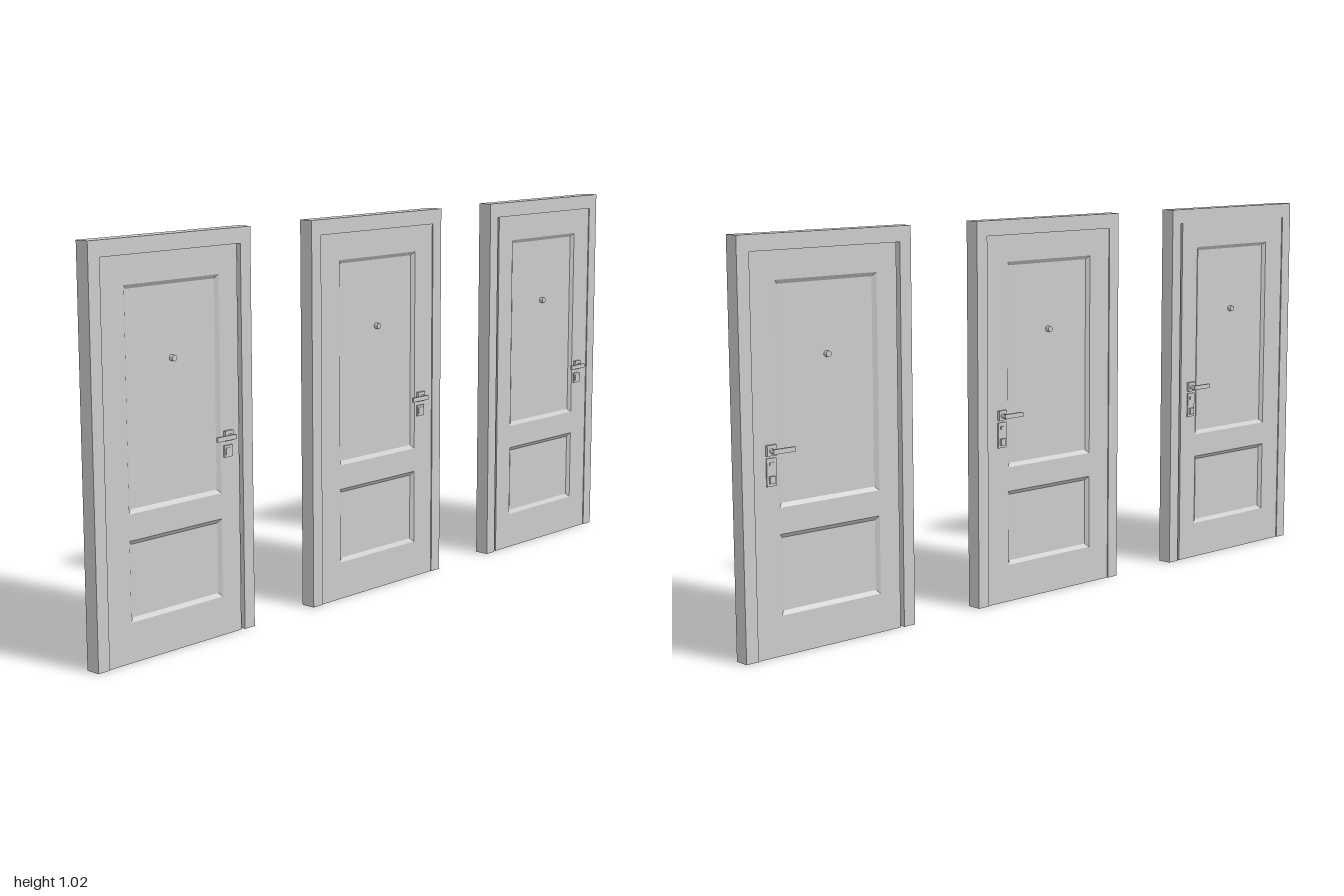
import * as THREE from 'three';

const grey = new THREE.MeshStandardMaterial({ color: 0xcccccc, flatShading: true });
const W = 0.26, H = 1.02, T = 0.02;      // half width, height, half thickness
const LEAF = 0.225, LEAF_TOP = 0.98;     // opening for the leaf
const FACE = 0.017, DEEP = 0.01;         // leaf face and sunken panel, from the middle
const PANELS = [[0.365, 0.91], [0.1, 0.3]];
const PANEL_HALF = 0.152, BEVEL = 0.01;

function add(parent, name, geometry, x = 0, y = 0, z = 0) {
  const mesh = new THREE.Mesh(geometry, grey);
  mesh.name = name;
  mesh.position.set(x, y, z);
  parent.add(mesh);
  return mesh;
}

const box = (w, h, d) => new THREE.BoxGeometry(w, h, d);

function rect(x0, y0, x1, y1, Type = THREE.Shape) {
  return new Type([[x0, y0], [x1, y0], [x1, y1], [x0, y1]].map(p => new THREE.Vector2(...p)));
}

function slab(shape, half) {
  return new THREE.ExtrudeGeometry(shape, { depth: half * 2, bevelEnabled: false }).translate(0, 0, -half);
}

// Sunken panel: four sloping sides down to a flat field
function sunkenPanel(y0, y1) {
  const loop = (inset, z) => {
    const x = PANEL_HALF - inset;
    return [[-x, y0 + inset, z], [x, y0 + inset, z], [x, y1 - inset, z], [-x, y1 - inset, z]];
  };
  const outer = loop(0, FACE), inner = loop(BEVEL, DEEP);
  const pos = [];
  const quad = (a, b, c, d) => pos.push(...a, ...b, ...c, ...a, ...c, ...d);
  for (let i = 0; i < 4; i++) {
    const j = (i + 1) % 4;
    quad(outer[i], outer[j], inner[j], inner[i]);
  }
  quad(...inner);
  const geometry = new THREE.BufferGeometry();
  geometry.setAttribute('position', new THREE.Float32BufferAttribute(pos, 3));
  geometry.computeVertexNormals();
  return geometry;
}

// Lever handle with its square rose; side is +1 or -1
function leverHandle(side) {
  const g = new THREE.Group();
  g.name = 'leverHandle';
  add(g, 'rose', box(0.028, 0.026, 0.008), 0.175, 0.508, side * 0.02);
  add(g, 'spindle', new THREE.CylinderGeometry(0.006, 0.006, 0.022, 12).rotateX(Math.PI / 2), 0.177, 0.507, side * 0.031);
  add(g, 'lever', box(0.064, 0.012, 0.006), 0.151, 0.507, side * 0.039);
  return g;
}

// gapLeft and gapRight leave a narrow slit beside the leaf
function makeDoor(gapLeft, gapRight) {
  const door = new THREE.Group();

  // Frame, open at the bottom
  const outline = [[-W, 0], [-LEAF, 0], [-LEAF, LEAF_TOP], [LEAF, LEAF_TOP], [LEAF, 0], [W, 0], [W, H], [-W, H]];
  add(door, 'doorFrame', slab(new THREE.Shape(outline.map(p => new THREE.Vector2(...p))), T));

  // Leaf with two panel openings
  const leaf = rect(-LEAF + gapLeft, 0, LEAF - gapRight, LEAF_TOP);
  for (const [y0, y1] of PANELS) leaf.holes.push(rect(-PANEL_HALF, y0, PANEL_HALF, y1, THREE.Path));
  add(door, 'doorLeaf', slab(leaf, FACE));

  for (const side of [1, -1]) {
    for (const [y0, y1] of PANELS) {
      add(door, 'sunkenPanel', sunkenPanel(y0, y1)).rotation.y = side > 0 ? 0 : Math.PI;
    }
    const eye = new THREE.CylinderGeometry(0.008, 0.008, 0.011, 12).rotateX(Math.PI / 2);
    add(door, 'peephole', eye, 0, 0.722, side * (DEEP + 0.0055));
    door.add(leverHandle(side));
  }

  // Outer lock: square plate with a cylinder
  add(door, 'lockPlate', box(0.028, 0.03, 0.006), 0.175, 0.469, 0.018);
  add(door, 'lockCylinder', box(0.018, 0.018, 0.002), 0.175, 0.469, 0.0215);

  // Inner lock: tall plate, key cover and thumb turn
  add(door, 'innerLockPlate', box(0.028, 0.068, 0.005), 0.175, 0.455, -0.018);
  add(door, 'keyCover', box(0.012, 0.008, 0.004), 0.175, 0.475, -0.021);
  add(door, 'thumbTurn', box(0.016, 0.018, 0.008), 0.175, 0.437, -0.022);

  // Turn the outer face towards +x
  door.rotation.y = Math.PI / 2;
  return door;
}

export function createModel() {
  const model = new THREE.Group();
  model.name = 'doors';
  for (const i of [1, 0, -1]) {
    const door = makeDoor(i < 0 ? 0.01 : 0, i > 0 ? 0.01 : 0);
    door.name = ['rearDoor', 'middleDoor', 'frontDoor'][i + 1];
    door.position.z = i * 0.74;
    model.add(door);
  }
  return model;
}
